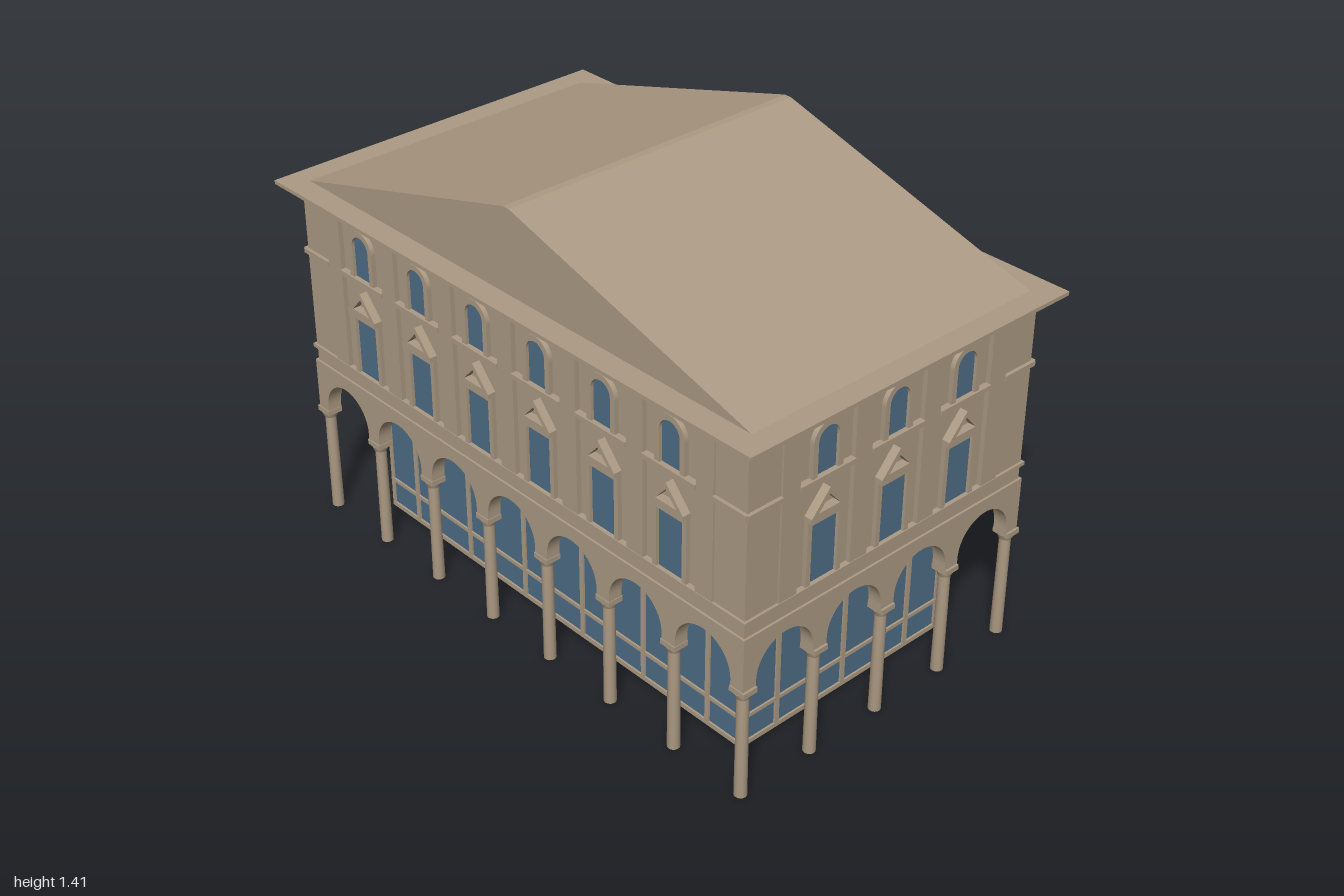
import * as THREE from 'three';

const BAY = 0.264;      // spacing of columns and windows
const HX = 0.945, HZ = 0.55; // half size of the outer walls

export function createModel() {
  const stone = new THREE.MeshStandardMaterial({ color: 0xad9b84 });
  stone.name = 'stone';
  const glass = new THREE.MeshStandardMaterial({ color: 0x4f6d87, side: THREE.DoubleSide });
  glass.name = 'glass';

  const model = new THREE.Group();
  model.name = 'arcadedBuilding';

  const add = (parent, name, geo, mat, x = 0, y = 0, z = 0) => {
    const m = new THREE.Mesh(geo, mat);
    m.name = name;
    m.position.set(x, y, z);
    parent.add(m);
    return m;
  };
  // box given by its centre in x and z and its bottom and top in y
  const box = (parent, name, mat, w, d, y0, y1, x = 0, z = 0) =>
    add(parent, name, new THREE.BoxGeometry(w, y1 - y0, d), mat, x, (y0 + y1) / 2, z);
  const extrude = (shape, depth) =>
    new THREE.ExtrudeGeometry(shape, { depth, bevelEnabled: false, curveSegments: 16 });

  // upright opening outline, with a round head when arched
  const opening = (Type, hw, y0, y1, arched) => {
    const p = new Type();
    p.moveTo(-hw, y0);
    p.lineTo(hw, y0);
    if (arched) {
      p.lineTo(hw, y1 - hw);
      p.absarc(0, y1 - hw, hw, 0, Math.PI, false);
    } else {
      p.lineTo(hw, y1);
      p.lineTo(-hw, y1);
    }
    p.lineTo(-hw, y0);
    return p;
  };
  const triangle = (Type, hw, y0, y1) => {
    const p = new Type();
    p.moveTo(-hw, y0);
    p.lineTo(hw, y0);
    p.lineTo(0, y1);
    p.lineTo(-hw, y0);
    return p;
  };

  // shared window geometries
  const upperFrame = opening(THREE.Shape, 0.056, 0.93, 1.09, true);
  upperFrame.holes.push(opening(THREE.Path, 0.038, 0.931, 1.072, true));
  const lowerFrame = opening(THREE.Shape, 0.065, 0.597, 0.803, false);
  lowerFrame.holes.push(opening(THREE.Path, 0.049, 0.598, 0.787, false));
  const pediment = triangle(THREE.Shape, 0.066, 0.818, 0.892);
  pediment.holes.push(triangle(THREE.Path, 0.04, 0.827, 0.871));
  const geo = {
    upperFrame: extrude(upperFrame, 0.014),
    upperGlass: extrude(opening(THREE.Shape, 0.038, 0.93, 1.072, true), 0.004),
    lowerFrame: extrude(lowerFrame, 0.014),
    lowerGlass: extrude(opening(THREE.Shape, 0.049, 0.597, 0.787, false), 0.004),
    pediment: extrude(pediment, 0.026),
  };

  // body, belt and eaves
  box(model, 'upperBody', stone, 1.86, 1.07, 0.5, 1.135);
  box(model, 'belt', stone, 1.876, 1.086, 0.535, 0.588);
  box(model, 'beltLedge', stone, 2 * HX + 0.004, 2 * HZ + 0.004, 0.586, 0.598);
  box(model, 'eavesMoulding', stone, 1.96, 1.16, 1.128, 1.141);
  box(model, 'eaves', stone, 2, 1.2, 1.139, 1.151);

  // gabled roof with a slightly flattened ridge
  const roof = new THREE.Shape([[-0.93, 1.15], [0.93, 1.15], [0.03, 1.408], [0.012, 1.413],
    [-0.012, 1.413], [-0.03, 1.408]].map(p => new THREE.Vector2(...p)));
  add(model, 'roof', extrude(roof, 1.05), stone, 0, 0, -0.525);

  // arcade wall with a row of arches
  const arcadeGeo = (half, arches) => {
    const r = 0.106, foot = 0.368, spring = 0.39;
    const s = new THREE.Shape();
    s.moveTo(-half, 0.541);
    s.lineTo(-half, foot);
    for (let i = 0; i < arches; i++) {
      const c = (i - (arches - 1) / 2) * BAY;
      s.lineTo(c - r, foot);
      s.lineTo(c - r, spring);
      s.absarc(c, spring, r, Math.PI, 0, true);
      s.lineTo(c + r, foot);
    }
    s.lineTo(half, foot);
    s.lineTo(half, 0.541);
    return extrude(s, 0.046);
  };

  // one side of the building, facing local +z
  const buildFacade = (name, windows, half, dist, angle) => {
    const g = new THREE.Group();
    g.name = name;
    g.rotation.y = angle;
    model.add(g);
    add(g, 'arcade', arcadeGeo(half - 0.0005, windows + 1), stone, 0, 0, dist - 0.046);

    const wall = dist - 0.015;
    for (let i = 0; i < windows; i++) {
      const x = (i - (windows - 1) / 2) * BAY;
      add(g, 'upperWindowFrame', geo.upperFrame, stone, x, 0, wall);
      add(g, 'upperWindowPane', geo.upperGlass, glass, x, 0, wall);
      add(g, 'lowerWindowFrame', geo.lowerFrame, stone, x, 0, wall);
      add(g, 'lowerWindowPane', geo.lowerGlass, glass, x, 0, wall);
      add(g, 'pediment', geo.pediment, stone, x, 0, wall);
      box(g, 'windowCornice', stone, 0.132, 0.026, 0.804, 0.819, x, wall + 0.013);
      box(g, 'windowLedge', stone, BAY - 0.064, 0.02, 0.916, 0.931, x, wall + 0.01);
    }
    for (let i = 0; i <= windows; i++) {
      box(g, 'pilaster', stone, 0.064, 0.018, 0.597, 1.13, (i - windows / 2) * BAY, wall + 0.006);
    }
    // corner panels with their ledges
    const inner = windows / 2 * BAY + 0.032;
    for (const s of [-1, 1]) {
      const x = s * (inner + half) / 2, w = half - inner;
      box(g, 'cornerPanel', stone, w - 0.006, 0.012, 0.597, 1.13, x - s * 0.003, wall + 0.003);
      box(g, 'cornerLedge', stone, w, 0.02, 0.916, 0.931, x, wall + 0.01);
    }
  };
  buildFacade('frontFacade', 6, HX, HZ, 0);
  buildFacade('leftFacade', 3, HZ, HX, Math.PI / 2);
  buildFacade('backFacade', 6, HX, HZ, Math.PI);
  buildFacade('rightFacade', 3, HZ, HX, -Math.PI / 2);

  // columns around the arcade
  const columnGeo = new THREE.LatheGeometry([[0, 0], [0.019, 0], [0.0175, 0.335], [0.0175, 0.338]]
    .map(p => new THREE.Vector2(...p)), 16);
  const capitalGeo = new THREE.CylinderGeometry(0.027, 0.02, 0.018, 16);
  const addColumn = (x, z) => {
    add(model, 'column', columnGeo, stone, x, 0, z);
    add(model, 'capital', capitalGeo, stone, x, 0.346, z);
    box(model, 'abacus', stone, 0.056, 0.05, 0.354, 0.371, x, z);
  };
  for (let i = 0; i < 8; i++) {
    for (let j = 0; j < 5; j++) {
      if (i % 7 === 0 || j % 4 === 0) addColumn((i - 3.5) * BAY, (j - 2) * BAY);
    }
  }

  // glazed ground floor, open underneath
  const GX = 0.79, GZ = 0.396;
  const glazing = (name, half, dist, posts, angle) => {
    const g = new THREE.Group();
    g.name = name;
    g.rotation.y = angle;
    model.add(g);
    box(g, 'glassWall', glass, 2 * half, 0.004, 0.01, 0.502, 0, dist);
    box(g, 'sill', stone, 2 * half + 0.012, 0.016, 0.004, 0.019, 0, dist);
    box(g, 'rail', stone, 2 * half + 0.012, 0.016, 0.099, 0.111, 0, dist);
    for (let i = 0; i < posts; i++) {
      box(g, 'mullion', stone, 0.016, 0.016, 0.01, 0.502, (i - (posts - 1) / 2) * BAY, dist);
    }
    box(g, 'cornerPost', stone, 0.014, 0.014, 0.01, 0.502, half, dist);
  };
  glazing('frontGlazing', GX, GZ, 6, 0);
  glazing('leftGlazing', GZ, GX, 3, Math.PI / 2);
  glazing('backGlazing', GX, GZ, 6, Math.PI);
  glazing('rightGlazing', GZ, GX, 3, -Math.PI / 2);

  return model;
}
